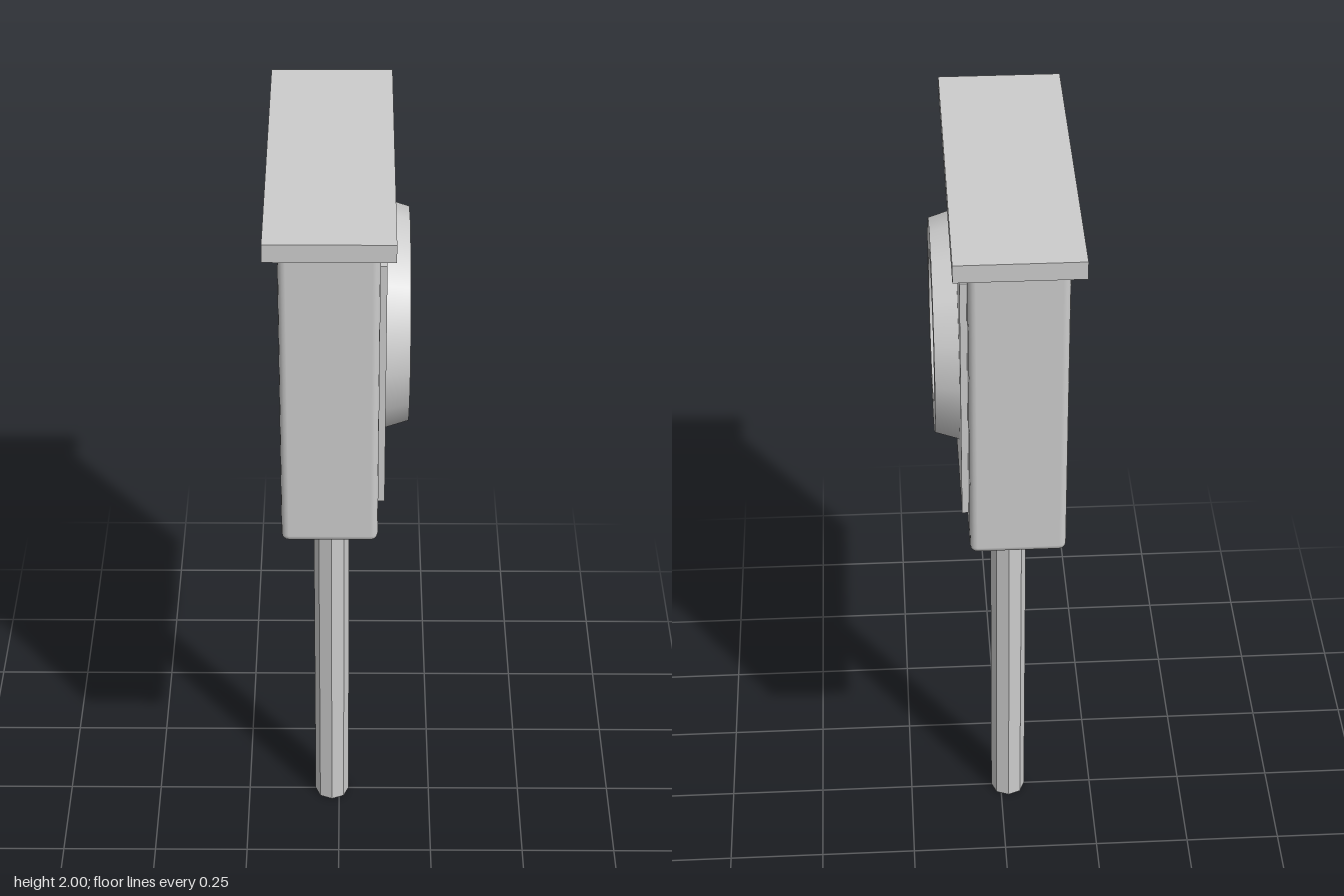
import * as THREE from 'three';
import { RoundedBoxGeometry } from 'three/addons/geometries/RoundedBoxGeometry.js';
import { mergeGeometries } from 'three/addons/utils/BufferGeometryUtils.js';

export function createModel() {
  const model = new THREE.Group();
  model.name = 'signalBoxOnPole';
  const grey = new THREE.MeshStandardMaterial({ color: 0xcccccc });
  grey.name = 'light grey';

  const add = (name, geometry, x, y, z = 0) => {
    const mesh = new THREE.Mesh(geometry, grey);
    mesh.name = name;
    mesh.position.set(x, y, z);
    model.add(mesh);
    return mesh;
  };

  // Eight-sided pole with flat facets
  const pole = new THREE.CylinderGeometry(0.046, 0.046, 1.17, 8).toNonIndexed();
  pole.computeVertexNormals();
  add('pole', pole, -0.02, 0.585);

  // Housing with softened edges, and its overhanging roof slab
  add('housing', new RoundedBoxGeometry(0.232, 0.797, 0.8, 2, 0.018), -0.021, 1.5575);
  add('roof', new THREE.BoxGeometry(0.3, 0.045, 0.866), -0.02, 1.9775);

  // Raised square panel on the left face
  const centreY = 1.557;
  add('facePanel', new THREE.BoxGeometry(0.03, 0.654, 0.654), 0.096, centreY);

  // Tapered ring: outer wall, front rim and funnel wall, each with its own normals
  const profile = [[0.282, 0], [0.264, 0.058], [0.188, 0.058], [0.173, 0]];
  const bands = [];
  for (let i = 0; i < profile.length - 1; i++) {
    const points = [profile[i], profile[i + 1]].map(([r, h]) => new THREE.Vector2(r, h));
    bands.push(new THREE.LatheGeometry(points, 16));
  }
  const ring = mergeGeometries(bands);
  ring.rotateZ(-Math.PI / 2);
  add('faceRing', ring, 0.111, centreY);

  return model;
}
